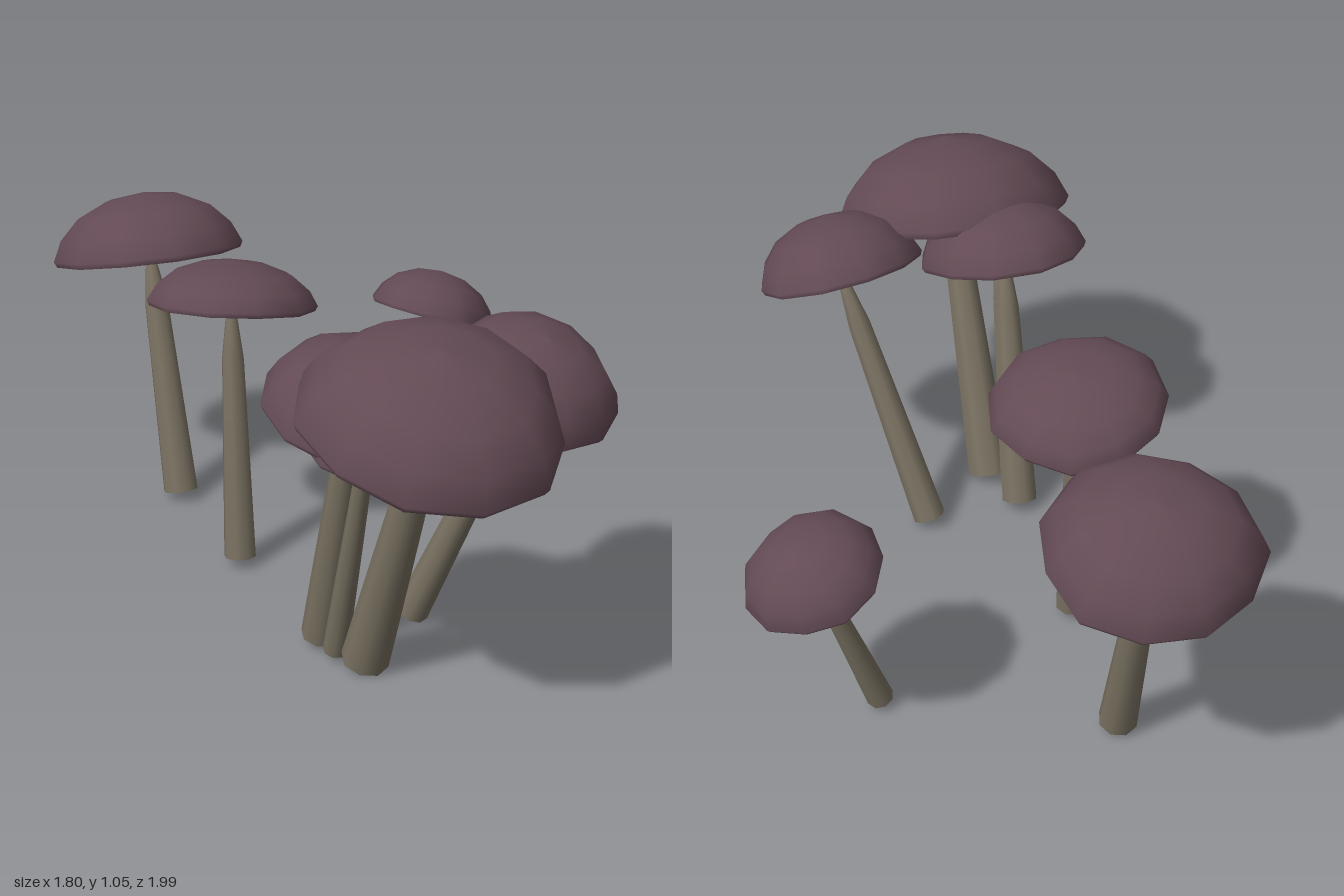
import * as THREE from 'three';

const capMaterial = new THREE.MeshStandardMaterial({ color: 0x634a54, roughness: 0.9 });
const gillMaterial = new THREE.MeshStandardMaterial({ color: 0x655a52, roughness: 0.9 });
const hollowMaterial = new THREE.MeshStandardMaterial({ color: 0x5c4048, roughness: 0.9 });
const stemMaterial = new THREE.MeshStandardMaterial({ color: 0x7a7262, roughness: 0.9 });

const UP = new THREE.Vector3(0, 1, 0);

// Each mushroom: stem foot, foot radius, cap rim centre, cap radius, dome height, cap lean (x, z)
const MUSHROOMS = [
  { foot: [-0.5, 0.02, -0.48], thick: 0.055, cap: [-0.625, 0.755, -0.63], r: 0.29, h: 0.18, lean: [-0.16, -0.2] },
  { foot: [-0.205, 0.022, -0.065], thick: 0.048, cap: [-0.245, 0.79, -0.15], r: 0.248, h: 0.12, lean: [0, -0.22] },
  { foot: [0.138, 0.022, -0.645], thick: 0.038, cap: [0.23, 0.555, -0.815], r: 0.195, h: 0.13, lean: [0.2, -0.34] },
  { foot: [0.275, 0.016, 0.46], thick: 0.067, cap: [0.475, 0.82, 0.655], r: 0.35, h: 0.215, lean: [0.2, 0.25] },
  { foot: [0.35, 0.02, 0.165], thick: 0.049, cap: [0.665, 0.775, 0.26], r: 0.248, h: 0.165, lean: [0.36, 0.23] },
  { foot: [0.13, 0.022, 0.355], thick: 0.056, cap: [0.25, 0.785, 0.52], r: 0.25, h: 0.16, lean: [0.22, 0.2] },
  { foot: [0.187, 0.02, 0.43], thick: 0.036, cap: [0.31, 0.745, 0.62], r: 0.18, h: 0.11, lean: [0.15, 0.25] },
];

// Revolve a profile listed from the bottom up the outside
function lathe(points, sides) {
  return new THREE.LatheGeometry(points.map(([x, y]) => new THREE.Vector2(x, y)), sides);
}

// Make a round form slightly uneven around its axis
function uneven(geometry, phase) {
  const p = geometry.attributes.position;
  for (let i = 0; i < p.count; i++) {
    const a = Math.atan2(p.getZ(i), p.getX(i));
    const k = 1 + 0.025 * Math.sin(3 * a + phase) + 0.015 * Math.cos(5 * a + 2 * phase);
    p.setX(i, p.getX(i) * k);
    p.setZ(i, p.getZ(i) * k);
  }
  return geometry;
}

function addPart(parent, name, geometry, material) {
  const mesh = new THREE.Mesh(geometry, material);
  mesh.name = name;
  parent.add(mesh);
}

function createCap({ cap, r, h, lean }, phase) {
  const group = new THREE.Group();
  group.name = 'cap';
  // Domed top with a softly rolled rim
  const dome = [[0.97, -0.06 * r], [1, 0], [0.9, 0.35 * h], [0.7, 0.68 * h], [0.38, 0.92 * h], [0, h]];
  // Nearly flat underside around a small hollow that takes the stem
  const gills = [[0.24, -0.02 * r], [0.6, -0.04 * r], [0.97, -0.06 * r]];
  const hollow = [[0, 0.16 * r], [0.16, 0.12 * r], [0.24, -0.02 * r]];
  const scaled = (points) => points.map(([x, y]) => [x * r, y]);
  addPart(group, 'capDome', uneven(lathe(scaled(dome), 11), phase), capMaterial);
  addPart(group, 'capUnderside', uneven(lathe(scaled(gills), 11), phase), gillMaterial);
  addPart(group, 'stemHollow', uneven(lathe(scaled(hollow), 11), phase), hollowMaterial);
  group.position.set(...cap);
  group.quaternion.setFromUnitVectors(UP, new THREE.Vector3(lean[0], 1, lean[1]).normalize());
  return group;
}

function createStem({ foot, thick, cap }) {
  const group = new THREE.Group();
  group.name = 'stem';
  const start = new THREE.Vector3(...foot);
  const axis = new THREE.Vector3(...cap).sub(start);
  const length = axis.length();
  // Long taper that narrows to a point under the cap
  const side = [[thick, 0], [thick * 0.86, length * 0.35], [thick * 0.68, length * 0.78],
    [thick * 0.4, length * 0.92], [thick * 0.15, length]];
  addPart(group, 'stemShaft', lathe(side, 8), stemMaterial);
  addPart(group, 'stemFoot', lathe([[0, 0], [thick, 0]], 8), stemMaterial);
  group.position.copy(start);
  group.quaternion.setFromUnitVectors(UP, axis.normalize());
  return group;
}

export function createModel() {
  const model = new THREE.Group();
  model.name = 'mushroomCluster';
  MUSHROOMS.forEach((spec, i) => {
    const mushroom = new THREE.Group();
    mushroom.name = `mushroom${i + 1}`;
    mushroom.add(createStem(spec), createCap(spec, i * 1.7));
    model.add(mushroom);
  });
  return model;
}
